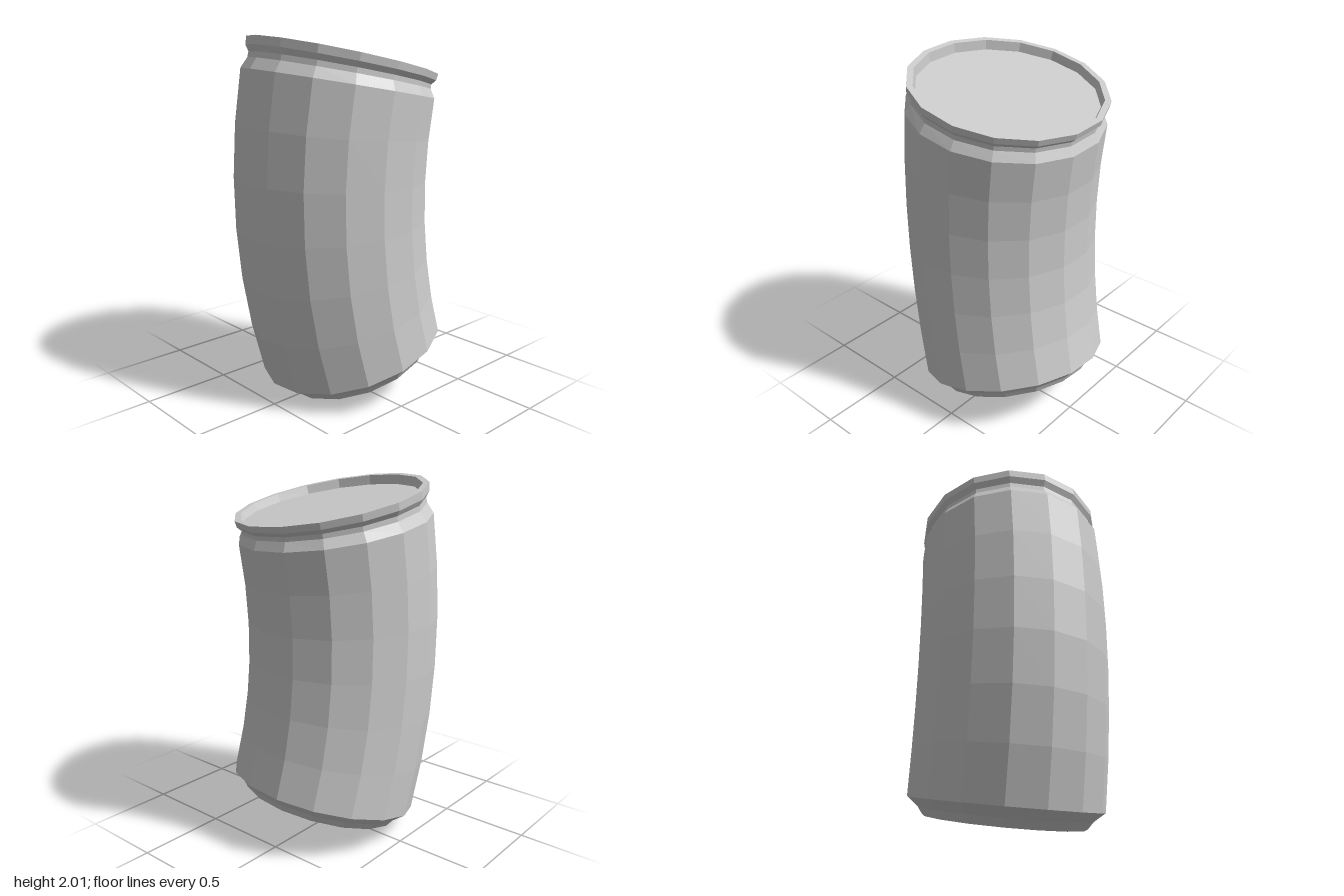
import * as THREE from 'three';

const SIDES = 16;
const BEND_RADIUS = 3.37;
const BEND_DIR = new THREE.Vector2(-0.28, 0.96); // (x, z) towards the bulging side
const MID = new THREE.Vector3(-0.022, 1.16, 0.058); // centre of the can where it is upright
const BOTTOM = -0.953, SHOULDER = 0.587, TOP = 0.735; // heights along the axis from MID

// Curves a straight can section along a circular arc
function bend(geometry) {
  const pos = geometry.attributes.position;
  for (let i = 0; i < pos.count; i++) {
    const x = pos.getX(i), z = pos.getZ(i), angle = pos.getY(i) / BEND_RADIUS;
    const along = x * BEND_DIR.x + z * BEND_DIR.y;
    const across = x * BEND_DIR.y - z * BEND_DIR.x;
    const r = BEND_RADIUS + along;
    const out = r * Math.cos(angle) - BEND_RADIUS;
    pos.setXYZ(i,
      MID.x + out * BEND_DIR.x + across * BEND_DIR.y,
      MID.y + r * Math.sin(angle),
      MID.z + out * BEND_DIR.y - across * BEND_DIR.x);
  }
  geometry.computeVertexNormals();
  return geometry;
}

export function createModel() {
  const group = new THREE.Group();
  group.name = 'bentCan';
  const metal = new THREE.MeshStandardMaterial({ color: 0xcccccc, flatShading: true });
  metal.name = 'greyMetal';

  // Profile points are [distance to flat side, height], running up the outside
  const addSection = (name, profile) => {
    const points = profile.map(([flat, h]) => new THREE.Vector2(flat / Math.cos(Math.PI / SIDES), h));
    const mesh = new THREE.Mesh(bend(new THREE.LatheGeometry(points, SIDES, Math.PI / SIDES)), metal);
    mesh.name = name;
    group.add(mesh);
  };

  // Recessed underside and tapered foot
  addSection('base', [
    [0, BOTTOM - 0.045], [0.305, BOTTOM - 0.045], [0.437, BOTTOM - 0.09],
    [0.465, BOTTOM - 0.05], [0.525, BOTTOM],
  ]);

  // Wall in six bands
  const wall = [];
  for (let i = 0; i <= 6; i++) wall.push([0.525, THREE.MathUtils.lerp(BOTTOM, SHOULDER, i / 6)]);
  addSection('body', wall);

  // Pinched neck, flared rim and its inner wall
  addSection('neckAndRim', [
    [0.525, SHOULDER], [0.497, TOP - 0.095], [0.496, TOP - 0.068],
    [0.517, TOP - 0.04], [0.521, TOP], [0.488, TOP], [0.475, TOP - 0.045],
  ]);

  // Sunken lid
  addSection('lid', [[0.475, TOP - 0.045], [0, TOP - 0.045]]);

  return group;
}
